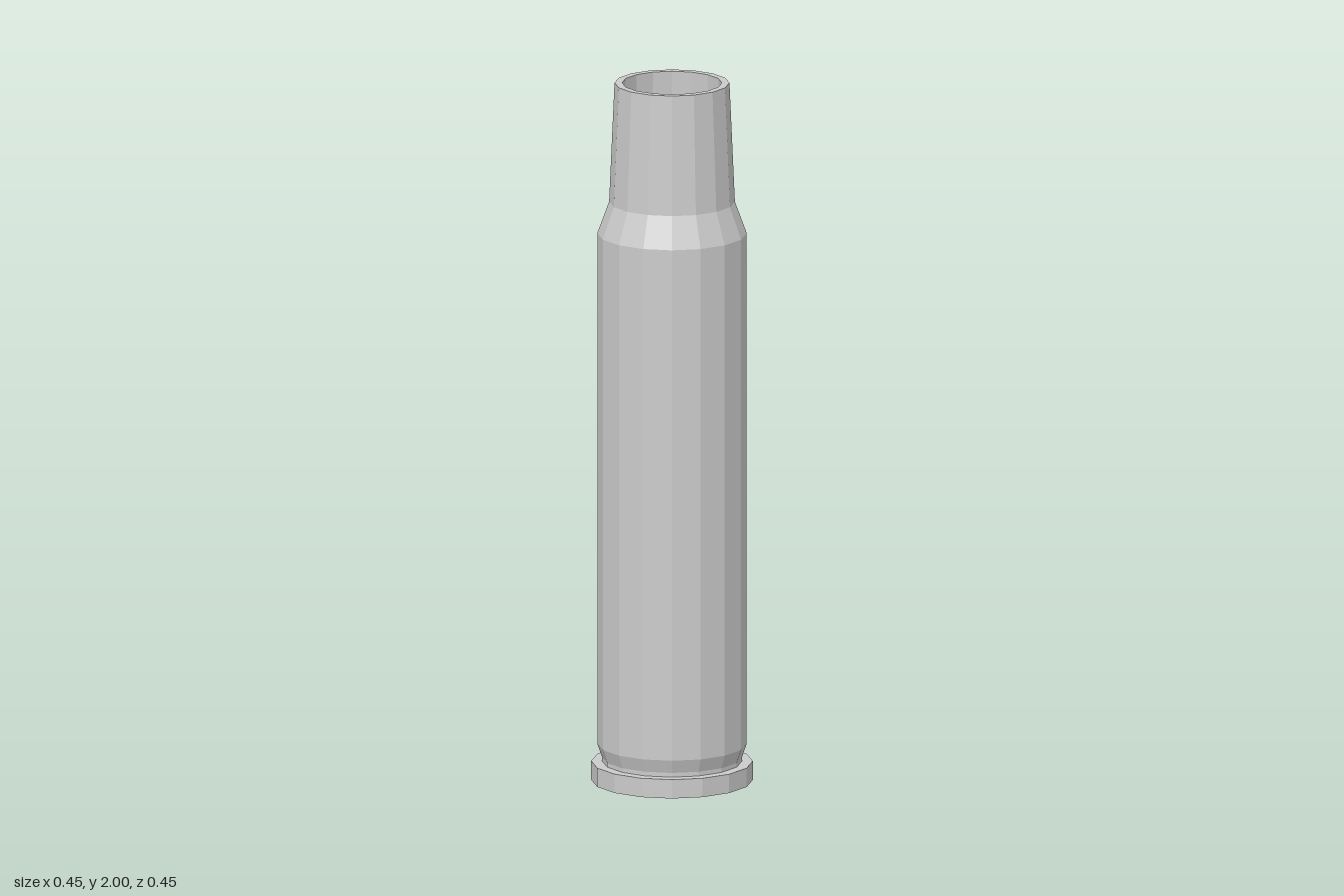
import * as THREE from 'three';

const SIDES = 16;

export function createModel() {
  const group = new THREE.Group();
  const material = new THREE.MeshStandardMaterial({ color: 0xcccccc, flatShading: true });

  // Turns a [radius, height] profile, listed from bottom to top on the outside
  const lathe = (name, profile) => {
    const points = profile.map(([r, y]) => new THREE.Vector2(r, y));
    const mesh = new THREE.Mesh(new THREE.LatheGeometry(points, SIDES), material);
    mesh.name = name;
    group.add(mesh);
  };

  // Base disc, rim and extractor groove
  lathe('rim', [[0, 0.006], [0.225, 0.006], [0.225, 0.06], [0.195, 0.06]]);

  // Hollow case: outer wall, shoulder, neck, mouth, then down the inside to the floor
  lathe('caseBody', [
    [0.195, 0.06], [0.195, 0.072], [0.208, 0.11], [0.208, 1.57],
    [0.175, 1.66], [0.16, 2], [0.139, 2],
    [0.154, 1.66], [0.187, 1.57], [0.187, 0.12], [0, 0.12],
  ]);

  // Small disc set into the base
  lathe('primer', [[0, 0], [0.08, 0], [0.08, 0.01]]);

  return group;
}
